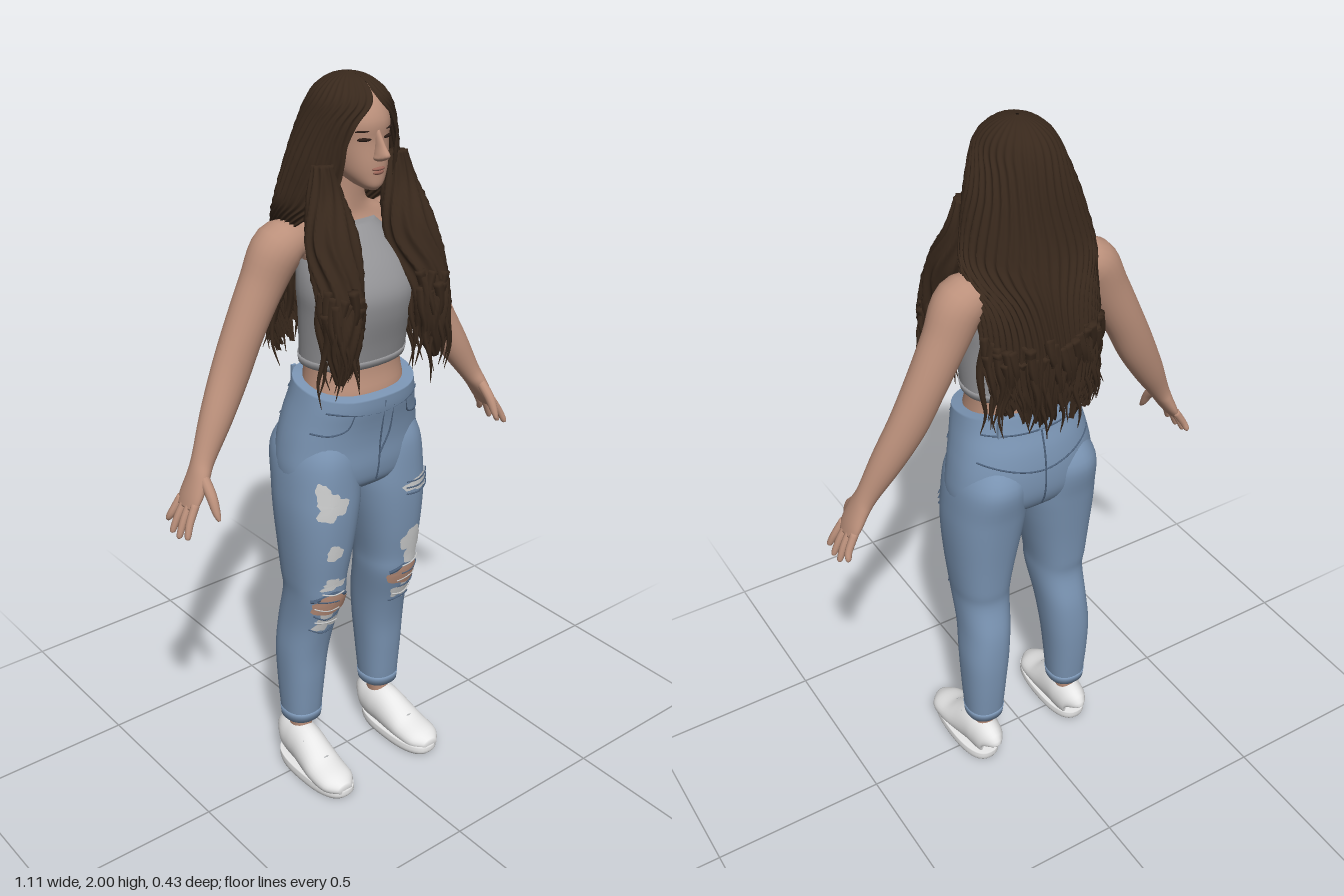
import * as THREE from 'three';

const mat = (name, color, side = THREE.FrontSide) => new THREE.MeshStandardMaterial({ name, color, side });
const skin = mat('skin', 0xbb907b), hairMat = mat('hair', 0x38281c, THREE.DoubleSide);
const grey = mat('greyKnit', 0x949497), denim = mat('denim', 0x7b95b4), seam = mat('denimSeam', 0x4f647f);
const white = mat('shoeWhite', 0xededed), faded = mat('fadedPatch', 0xcfd0d0), dark = mat('eyeDark', 0x2a1c16);
const lip = mat('lips', 0x9c675a), lace = mat('laceGrey', 0xb4b6b8);

let seed = 7;
const rand = () => (seed = (seed * 16807) % 2147483647) / 2147483647;
const clamp = (v) => Math.min(1, Math.max(0, v));

// smooth a short table of rows into k rows per span
function dense(rows, k = 5) {
  const out = [], at = (i) => rows[Math.min(rows.length - 1, Math.max(0, i))];
  for (let i = 0; i < rows.length - 1; i++) for (let s = 0; s < k; s++) {
    const t = s / k, [a, b, c, d] = [at(i - 1), at(i), at(i + 1), at(i + 2)];
    out.push(b.map((v, n) => {
      const q = 2 * a[n] - 5 * v + 4 * c[n] - d[n], w = 3 * (v - c[n]) + d[n] - a[n];
      return v + 0.5 * t * (c[n] - a[n] + t * (q + t * w));
    }));
  }
  out.push(rows[rows.length - 1]);
  return out;
}

// skin a list of point rings
function grid(rings, wrap = true, cap = wrap) {
  const n = rings[0].length, pos = rings.flat(2), idx = [], m = rings.length;
  for (let i = 0; i < m - 1; i++) for (let j = 0; j < (wrap ? n : n - 1); j++) {
    const a = i * n + j, b = i * n + (j + 1) % n;
    idx.push(a, b, a + n, b, b + n, a + n);
  }
  if (cap) [0, m - 1].forEach((r, e) => {
    const c = pos.length / 3;
    pos.push(...[0, 1, 2].map((k) => rings[r].reduce((s, p) => s + p[k], 0) / n));
    for (let j = 0; j < n; j++) {
      const a = r * n + j, b = r * n + (j + 1) % n;
      idx.push(...(e ? [a, b, c] : [b, a, c]));
    }
  });
  const g = new THREE.BufferGeometry();
  g.setAttribute('position', new THREE.Float32BufferAttribute(pos, 3));
  g.setIndex(idx);
  g.computeVertexNormals();
  return g;
}

// stacked cross-sections: rows of [y, x0, x1, zFront, zBack], upwards
function loft(rows, n = 2.2, seg = 36, k = 5) {
  const pw = (v) => Math.sign(v) * Math.abs(v) ** (2 / n);
  return grid(dense(rows, k).map(([y, x0, x1, zf, zb]) => Array.from({ length: seg }, (_, j) => {
    const a = j / seg * Math.PI * 2;
    return [(x0 + x1) / 2 + (x1 - x0) / 2 * pw(Math.cos(a)), y, (zf + zb) / 2 - (zf - zb) / 2 * pw(Math.sin(a))];
  })));
}
const sym = (rows) => rows.map(([y, w, f, b]) => [y, -w, w, f, b]);
const flip = (rows) => rows.map(([y, a, b, f, c]) => [y, -b, -a, f, c]);

// swept limb: points of [x, y, z, width, depth]
function sweep(points, seg = 16, k = 5, ref = new THREE.Vector3(0, 0, 1), shape = () => 1) {
  const d = dense(points, k), v = (p) => new THREE.Vector3(p[0], p[1], p[2]);
  return grid(d.map((p, i) => {
    const T = v(d[Math.min(i + 1, d.length - 1)]).sub(v(d[Math.max(i - 1, 0)])).normalize();
    const B = ref.clone().addScaledVector(T, -T.dot(ref)).normalize(), N = B.clone().cross(T);
    return Array.from({ length: seg }, (_, j) => {
      const a = j / seg * Math.PI * 2, f = shape(a, i / d.length);
      return v(p).addScaledVector(N, p[3] * f * Math.cos(a)).addScaledVector(B, p[4] * f * Math.sin(a)).toArray();
    });
  }));
}
const side = (pts, s) => pts.map(([x, ...r]) => [x * s, ...r]);

// jeans sections
const hips = sym([[0.905, 0.14, 0.07, -0.07], [0.94, 0.2, 0.115, -0.11], [0.99, 0.213, 0.13, -0.133], [1.06, 0.205, 0.133, -0.138],
  [1.13, 0.19, 0.142, -0.13], [1.19, 0.176, 0.152, -0.113], [1.238, 0.166, 0.155, -0.104]]);
const leg = [[0.165, 0.092, 0.197, 0.02, -0.09], [0.2, 0.088, 0.2, 0.025, -0.095], [0.3, 0.08, 0.205, 0.035, -0.105],
  [0.4, 0.07, 0.207, 0.045, -0.11], [0.5, 0.06, 0.2, 0.068, -0.105], [0.6, 0.048, 0.2, 0.1, -0.085], [0.66, 0.044, 0.206, 0.107, -0.09],
  [0.75, 0.028, 0.214, 0.12, -0.1], [0.85, 0.01, 0.22, 0.129, -0.114], [0.93, 0.002, 0.218, 0.13, -0.126], [1.03, 0.012, 0.205, 0.125, -0.142], [1.1, 0.03, 0.17, 0.1, -0.11]];
const shells = [hips, leg, flip(leg)].map((r) => dense(r));

// depth of the jeans at (x, y), s = 1 front, -1 back
function surf(x, y, s) {
  let best = -1;
  for (const rows of shells) {
    const i = rows.findIndex((r, n) => n && r[0] >= y);
    if (i < 1 || rows[0][0] > y) continue;
    const t = (y - rows[i - 1][0]) / (rows[i][0] - rows[i - 1][0]), r = rows[i].map((v, n) => rows[i - 1][n] * (1 - t) + v * t);
    const u = Math.abs((x - (r[1] + r[2]) / 2) / ((r[2] - r[1]) / 2));
    if (u < 1) best = Math.max(best, s * (r[3] + r[4]) / 2 + (r[3] - r[4]) / 2 * (1 - u ** 2.3) ** (1 / 2.3));
  }
  return s * (best === -1 ? 0 : best);
}

export function createModel() {
  const root = new THREE.Group();
  const add = (name, geo, m, parent = root) => {
    const o = new THREE.Mesh(geo, m);
    o.name = name;
    parent.add(o);
    return o;
  };

  // torso, neck, head
  add('torso', loft(sym([[1.15, 0.14, 0.12, -0.08], [1.2, 0.143, 0.128, -0.085], [1.28, 0.135, 0.115, -0.08], [1.45, 0.138, 0.12, -0.085],
    [1.54, 0.132, 0.1, -0.09], [1.6, 0.15, 0.06, -0.09], [1.645, 0.13, 0.035, -0.08], [1.685, 0.06, 0.032, -0.07], [1.77, 0.046, 0.04, -0.06]])), skin);
  add('head', loft(sym([[1.732, 0.015, 0.11, 0.06], [1.745, 0.034, 0.119, 0.03], [1.77, 0.055, 0.121, -0.02], [1.8, 0.068, 0.121, -0.06],
    [1.85, 0.078, 0.117, -0.085], [1.9, 0.08, 0.118, -0.09], [1.95, 0.06, 0.088, -0.075], [1.985, 0.018, 0.03, -0.03]])), skin);
  add('nose', loft(sym([[1.806, 0.01, 0.132, 0.1], [1.813, 0.017, 0.148, 0.1], [1.824, 0.014, 0.158, 0.1], [1.845, 0.009, 0.142, 0.1], [1.88, 0.007, 0.119, 0.1]]), 2, 16), skin);
  const ball = (name, m, x, y, z, a, b, c) => {
    const o = add(name, new THREE.SphereGeometry(1, 16, 10), m);
    o.position.set(x, y, z);
    o.scale.set(a, b, c);
    return o;
  };
  ball('upperLip', lip, 0, 1.786, 0.119, 0.02, 0.005, 0.008);
  ball('lowerLip', lip, 0, 1.777, 0.118, 0.017, 0.006, 0.008);
  for (const s of [1, -1]) {
    ball('eye', dark, s * 0.034, 1.858, 0.107, 0.019, 0.005, 0.007).rotation.y = s * 0.3;
    ball('eyebrow', dark, s * 0.036, 1.878, 0.107, 0.023, 0.003, 0.006).rotation.y = s * 0.3;
  }

  // cropped top with hem
  add('croppedTop', loft(sym([[1.28, 0.148, 0.125, -0.09], [1.34, 0.15, 0.14, -0.09], [1.42, 0.153, 0.163, -0.095], [1.48, 0.156, 0.167, -0.1],
    [1.54, 0.142, 0.14, -0.105], [1.6, 0.108, 0.095, -0.1], [1.64, 0.072, 0.06, -0.085]])), grey);
  add('topHem', loft(sym([[1.277, 0.149, 0.126, -0.091], [1.297, 0.152, 0.132, -0.093]]), 2.2, 36, 1), grey);

  // jeans; the waist dips at the front
  const hipGeo = loft(hips, 2.3, 48), hp = hipGeo.attributes.position;
  for (let i = 0; i < hp.count; i++) hp.setY(i, hp.getY(i) - 0.035 * clamp((hp.getY(i) - 1.1) / 0.138) * clamp((hp.getZ(i) + 0.06) / 0.2));
  hipGeo.computeVertexNormals();
  add('jeansHips', hipGeo, denim);
  const line = (name, pts, s, m = seam, r = 0.0025) => {
    const path = dense(pts, 6).map(([x, y]) => new THREE.Vector3(x, y, surf(x, y, s) + s * 0.001));
    return add(name, new THREE.TubeGeometry(new THREE.CatmullRomCurve3(path), 24, r, 5), m);
  };
  line('flySeam', [[0.004, 1.19], [0.004, 1.08], [0, 0.95]], 1);
  line('flyStitch', [[0.035, 1.17], [0.033, 1.09], [0.004, 1.03]], 1);
  line('frontWaistSeam', [[-0.15, 1.175], [0, 1.155], [0.15, 1.175]], 1);
  line('backYokeSeam', [[-0.17, 1.12], [0, 1.075], [0.17, 1.12]], -1);
  line('backWaistSeam', [[-0.15, 1.195], [0, 1.19], [0.15, 1.195]], -1);
  line('backSeam', [[0, 1.19], [0, 1.05], [0, 0.95]], -1);
  for (const x of [-0.11, 0, 0.11]) {
    add('beltLoop', new THREE.BoxGeometry(0.014, 0.05, 0.008), denim).position.set(x, 1.213, surf(x, 1.21, -1) - 0.003);
  }

  // patch that follows the front of a leg
  const patch = (name, cx, cy, rx, ry, m, off = 0.005, wob = 0.12) => add(name, grid([1, 0.75, 0.5, 0.25, 0].map((f) =>
    Array.from({ length: 32 }, (_, j) => {
      const a = j / 32 * Math.PI * 2, r = f * (1 + wob * Math.sin(3 * a + cx * 30) + wob * 0.6 * Math.sin(7 * a));
      const x = cx + rx * r * Math.cos(a), y = cy + ry * r * Math.sin(a);
      return [x, y, surf(x, y, 1) + off];
    })), true, false), m);
  patch('fadedPatch', -0.15, 0.915, 0.04, 0.042, faded, 0.005, 0.2);
  patch('fadedPatch', -0.172, 0.955, 0.016, 0.03, faded);
  patch('fadedPatch', -0.14, 0.77, 0.024, 0.024, faded);
  patch('fadedPatch', -0.135, 0.665, 0.035, 0.018, faded, 0.005, 0.25);
  patch('fadedPatch', 0.135, 0.715, 0.037, 0.04, faded);
  patch('fadedPatch', 0.14, 0.665, 0.025, 0.04, faded);
  patch('thighRip', 0.145, 0.895, 0.052, 0.02, faded, 0.005, 0.15);
  for (const s of [1, -1]) {
    patch('kneeShred', s * 0.138, 0.535, 0.034, 0.035, faded, 0.004, 0.3);
    patch('kneeRip', s * 0.132, 0.595, 0.056, 0.034, skin, 0.007, 0.1);
    line('kneeRipEdge', [[s * 0.08, 0.61], [s * 0.135, 0.632], [s * 0.185, 0.61]], 1, seam, 0.005);
    for (let i = 0; i < 6; i++) {
      const y = 0.5 + i * 0.026, x = s * (0.095 + rand() * 0.02);
      line('looseThread', [[x, y], [x + s * 0.035, y - 0.01 + rand() * 0.02], [x + s * 0.07, y + 0.01]], 1, i % 2 ? faded : seam, 0.0022).position.z = 0.006;
    }
    line('pocketSeam', [[s * 0.085, 1.165], [s * 0.1, 1.125], [s * 0.14, 1.11], [s * 0.178, 1.115]], 1);
  }
  for (const dy of [-0.02, 0, 0.018]) line('ripThread', [[0.095, 0.895 + dy], [0.145, 0.89 + dy], [0.195, 0.897 + dy]], 1, seam, 0.002).position.z = 0.007;

  // legs, shoes and arms, mirrored
  for (const s of [1, -1]) {
    const m = (rows) => (s > 0 ? rows : flip(rows)), tag = s > 0 ? 'left' : 'right';
    add(tag + 'JeanLeg', loft(m(leg), 2.3, 40), denim);
    add(tag + 'Cuff', loft(m([[0.163, 0.09, 0.199, 0.022, -0.092], [0.192, 0.087, 0.201, 0.026, -0.096]]), 2.3, 40, 1), denim);
    add(tag + 'Ankle', loft(m([[0.06, 0.118, 0.178, 0.01, -0.075], [0.13, 0.116, 0.176, 0.0, -0.07], [0.22, 0.11, 0.18, 0.0, -0.075]])), skin);
    const shoe = sweep(side([[0.15, 0.06, -0.096, 0.015, 0.03], [0.15, 0.07, -0.085, 0.04, 0.055], [0.15, 0.072, -0.04, 0.049, 0.066], [0.152, 0.07, 0.0, 0.051, 0.066],
      [0.156, 0.055, 0.05, 0.054, 0.056], [0.16, 0.042, 0.1, 0.057, 0.042], [0.162, 0.036, 0.16, 0.052, 0.031], [0.162, 0.032, 0.197, 0.022, 0.016]], s), 28, 5, new THREE.Vector3(0, 1, 0));
    const sp = shoe.attributes.position;
    for (let i = 0; i < sp.count; i++) sp.setY(i, Math.max(0.008, sp.getY(i)));
    shoe.computeVertexNormals();
    add(tag + 'Shoe', shoe, white);
    add(tag + 'Sole', loft(m([[0, 0.1, 0.215, 0.19, -0.09], [0.012, 0.096, 0.218, 0.2, -0.095], [0.03, 0.098, 0.216, 0.2, -0.096]]), 2.5, 40, 3), white);
    for (let i = 0; i < 4; i++) {
      const z = 0.03 + i * 0.022, top = 0.122 - i * 0.0125;
      add(tag + 'Lace', sweep(side([[0.128, top - 0.012, z, 0.003, 0.003], [0.157, top + 0.001, z + 0.004, 0.003, 0.003], [0.186, top - 0.012, z, 0.003, 0.003]], s), 6, 4), lace);
    }
    add(tag + 'Arm', sweep(side([[0.12, 1.6, -0.04, 0.04, 0.05], [0.185, 1.588, -0.04, 0.066, 0.066], [0.235, 1.5, -0.046, 0.061, 0.055], [0.293, 1.39, -0.046, 0.055, 0.05],
      [0.343, 1.29, -0.04, 0.053, 0.045], [0.4, 1.19, -0.025, 0.044, 0.04], [0.452, 1.1, -0.01, 0.03, 0.031], [0.475, 1.06, -0.002, 0.024, 0.038],
      [0.5, 1.015, 0, 0.018, 0.043], [0.515, 0.988, 0, 0.012, 0.038]], s), 24), skin);
    for (let f = 0; f < 4; f++) {
      const z = -0.032 + f * 0.0215, drop = [0.02, 0.002, 0, 0.008][f];
      add(tag + 'Finger', sweep(side([[0.508, 1.005, z, 0.011, 0.011], [0.532, 0.965, z * 1.25, 0.01, 0.01], [0.549 - drop / 2, 0.926 + drop, z * 1.5, 0.008, 0.008],
        [0.551 - drop / 2, 0.919 + drop, z * 1.52, 0.003, 0.003]], s), 10, 4), skin);
    }
    add(tag + 'Thumb', sweep(side([[0.472, 1.07, 0.015, 0.014, 0.014], [0.475, 1.03, 0.055, 0.014, 0.014], [0.476, 0.99, 0.078, 0.01, 0.01], [0.475, 0.972, 0.088, 0.004, 0.004]], s), 12, 4), skin);
  }

  // hair shell open at the face: [y, halfWidth, zFront, zBack, wrap in degrees]
  const hair = new THREE.Group();
  hair.name = 'hair';
  root.add(hair);
  const shell = dense([[1.25, 0.15, 0.02, -0.2, 68], [1.32, 0.165, 0.03, -0.213, 76], [1.42, 0.172, 0.04, -0.217, 82], [1.52, 0.172, 0.05, -0.208, 85], [1.6, 0.172, 0.065, -0.192, 95],
    [1.66, 0.178, 0.08, -0.175, 122], [1.7, 0.174, 0.088, -0.164, 142], [1.75, 0.163, 0.095, -0.153, 149], [1.8, 0.15, 0.105, -0.143, 149], [1.85, 0.133, 0.115, -0.133, 147],
    [1.9, 0.114, 0.122, -0.12, 153], [1.94, 0.096, 0.114, -0.103, 172], [1.968, 0.075, 0.09, -0.08, 180], [1.99, 0.043, 0.055, -0.045, 180], [2, 0.004, 0.008, -0.002, 180]]);
  const jag = Array.from({ length: 31 }, () => rand());
  add('hairShell', grid(shell.map(([y, rx, zf, zb, A]) => Array.from({ length: 181 }, (_, j) => {
    const u = j / 180, th = (u * 2 - 1) * Math.min(A, 180) * Math.PI / 180, low = clamp((1.5 - y) / 0.25);
    const g = 1.02 - (0.06 + low * 0.07) * Math.abs(Math.sin(30 * Math.PI * u + 0.9 * Math.sin(y * 22 + u * 9)));
    return [-rx * g * Math.sin(th), y + low * 0.07 * jag[Math.floor(u * 30)], (zf + zb) / 2 - (zf - zb) / 2 * g * Math.cos(th)];
  })), false), hairMat, hair);

  // wavy tapered strand hanging from (x, y, z)
  const strand = (x, y, z, len, r) => {
    const ph = rand() * 6.3, dx = (rand() - 0.4) * 0.03 * Math.sign(x);
    add('hairStrand', sweep([0, 0.25, 0.5, 0.75, 1].map((t) => [x + dx * t + 0.008 * Math.sin(ph + t * 7), y - len * t,
      z + 0.008 * Math.cos(ph + t * 6), r * (1.05 - t), r * (1.05 - t)]), 6, 4), hairMat, hair);
  };
  const grooves = (a, t) => 1.06 - 0.2 * Math.abs(Math.sin(5 * a + 1.2 * Math.sin(t * 14)));
  for (const s of [1, -1]) {
    // front locks over the chest
    add('frontLock', sweep(side([[0.115, 1.8, 0.05, 0.025, 0.03], [0.117, 1.72, 0.06, 0.05, 0.038], [0.122, 1.62, 0.095, 0.074, 0.055], [0.134, 1.52, 0.135, 0.064, 0.055],
      [0.142, 1.43, 0.16, 0.055, 0.05], [0.147, 1.35, 0.165, 0.042, 0.035], [0.155, 1.28, 0.165, 0.012, 0.012]], s), 60, 8, undefined, grooves), hairMat, hair);
    for (let i = 0; i < 22; i++) {
      const a = i / 22 * Math.PI * 2;
      strand(s * (0.142 + 0.045 * Math.cos(a)), 1.47 + rand() * 0.06, 0.152 + 0.042 * Math.sin(a), 0.17 + rand() * 0.09, 0.014);
    }
  }
  for (let i = 0; i < 38; i++) {
    const th = (i / 37 * 2 - 1) * 1.4;
    strand(0.162 * Math.sin(th), 1.46 + rand() * 0.06, -0.085 - 0.118 * Math.cos(th), 0.16 + rand() * 0.09, 0.015);
  }
  return root;
}
